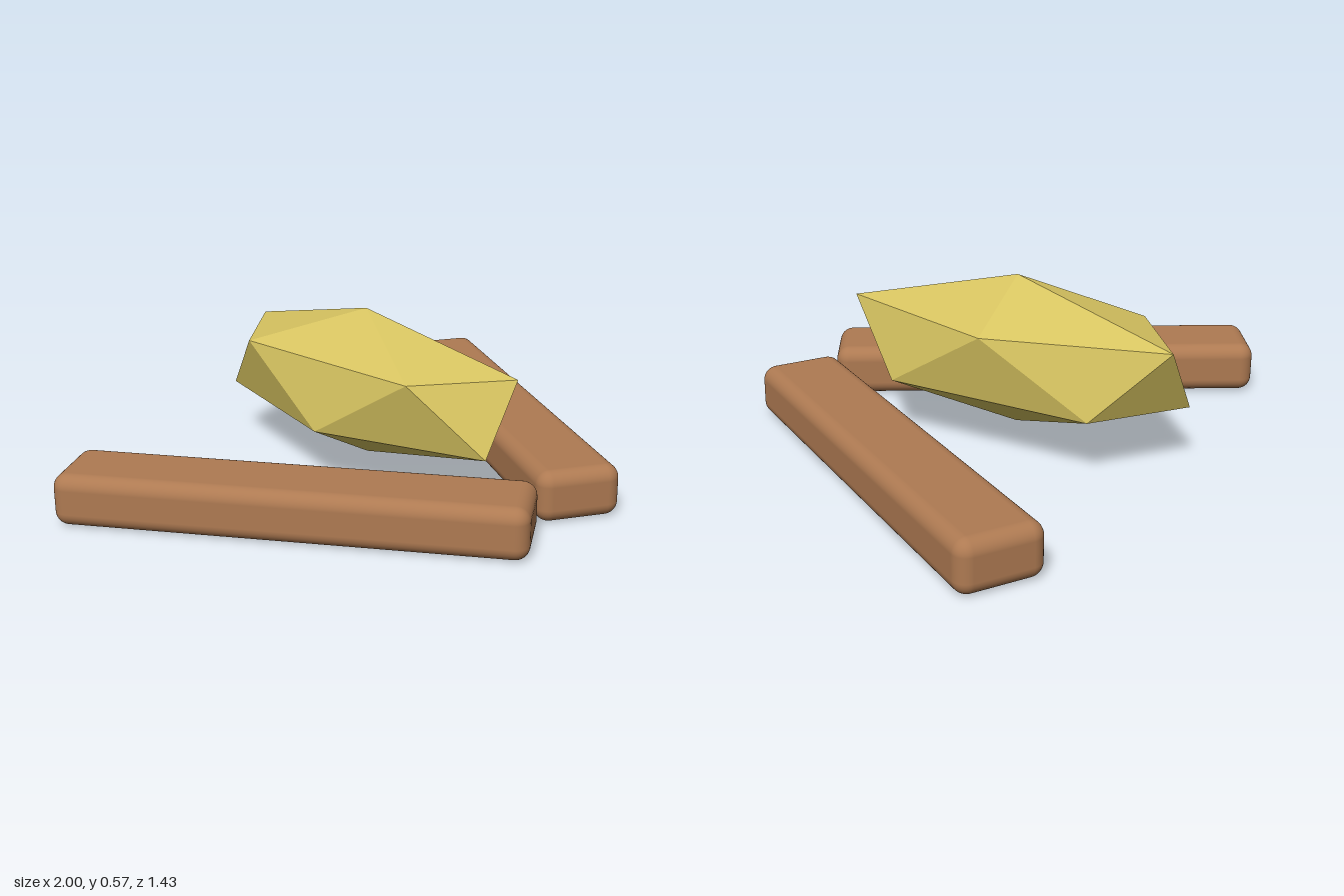
import * as THREE from 'three';
import { RoundedBoxGeometry } from 'three/addons/geometries/RoundedBoxGeometry.js';

export function createModel() {
  const group = new THREE.Group();
  const brown = new THREE.MeshStandardMaterial({ color: 0xae7a52 });
  brown.name = 'brown';
  const gold = new THREE.MeshStandardMaterial({ color: 0xd6c360, flatShading: true });
  gold.name = 'gold';

  // Two rounded bars forming a V that opens to the back
  const barGeometry = new RoundedBoxGeometry(0.277, 0.17, 1.482, 5, 0.046);
  for (const [name, side] of [['leftBar', 1], ['rightBar', -1]]) {
    const bar = new THREE.Mesh(barGeometry, brown);
    bar.name = name;
    bar.position.set(side * 0.51, 0.085, 0.03);
    bar.rotation.y = -side * 0.55;
    group.add(bar);
  }

  // Faceted body: icosahedron turned point-up, then stretched from front to back
  const golden = (1 + Math.sqrt(5)) / 2;
  const bodyGeometry = new THREE.IcosahedronGeometry(1, 0);
  bodyGeometry.rotateZ(-Math.atan(1 / golden));
  bodyGeometry.scale(0.28, 0.253, 0.677);
  bodyGeometry.computeVertexNormals();
  const body = new THREE.Mesh(bodyGeometry, gold);
  body.name = 'facetedBody';
  body.position.set(0, 0.316, -0.14);
  group.add(body);

  return group;
}
